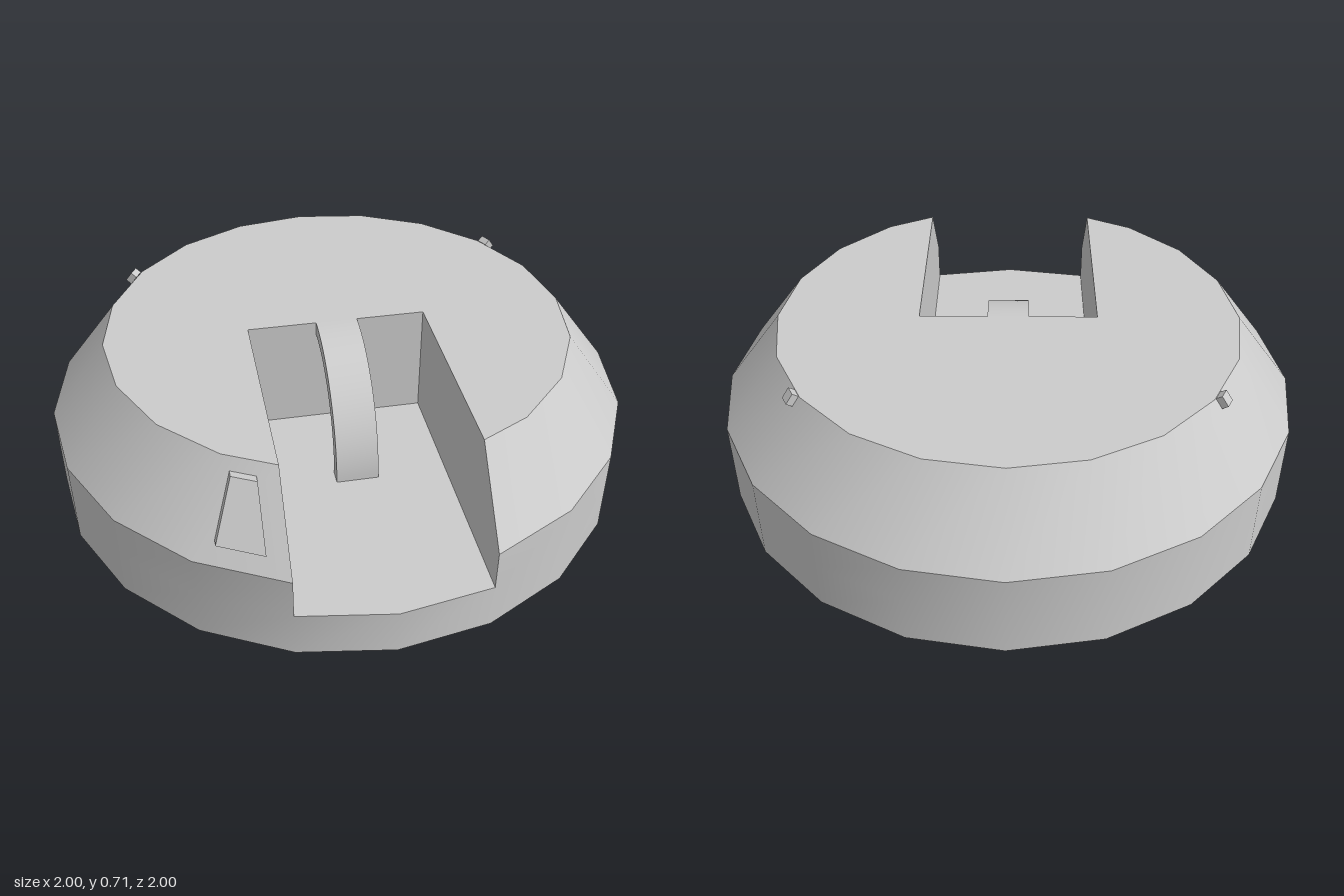
import * as THREE from 'three';
import { mergeGeometries, toCreasedNormals } from 'three/addons/utils/BufferGeometryUtils.js';

const SIDES = 20, STEP = (2 * Math.PI) / SIDES;
const SLOT = Math.sin(STEP); // half width of the front slot
const FLOOR = 0.29, SHOULDER = 0.43, TOP = 0.69, TOP_R = 0.8;

export function createModel() {
  const model = new THREE.Group();
  const grey = new THREE.MeshStandardMaterial({ color: 0xcccccc });
  const tan = new THREE.MeshStandardMaterial({ color: 0xc49a6c, side: THREE.DoubleSide });

  const add = (name, geometry, material = grey) => {
    const mesh = new THREE.Mesh(geometry, material);
    mesh.name = name;
    model.add(mesh);
    return mesh;
  };
  const plain = (geometry) => {
    const g = geometry.index ? geometry.toNonIndexed() : geometry;
    g.deleteAttribute('uv');
    return g;
  };

  // Notched outline: polygon around the body, then the slot's two inner corners
  const outline = (r, slotZ) => {
    const pts = [[SLOT, slotZ]];
    for (let i = 2; i < SIDES - 1; i++) pts.push([r * Math.sin(i * STEP), r * Math.cos(i * STEP)]);
    pts.push([-SLOT, slotZ], [-SLOT, 0], [SLOT, 0]);
    return pts;
  };
  const wide = outline(1, Math.cos(STEP));
  const narrow = outline(TOP_R, 0.729);
  const sections = [[FLOOR, wide], [SHOULDER, wide], [TOP, narrow]];

  // Walls of the slotted upper body
  const positions = [];
  for (let s = 0; s < 2; s++) {
    const [y0, low] = sections[s], [y1, high] = sections[s + 1];
    low.forEach((p, i) => {
      const j = (i + 1) % low.length;
      const a = [p[0], y0, p[1]], b = [low[j][0], y0, low[j][1]];
      const c = [high[j][0], y1, high[j][1]], d = [high[i][0], y1, high[i][1]];
      positions.push(...a, ...b, ...c, ...a, ...c, ...d);
    });
  }
  const walls = new THREE.BufferGeometry();
  walls.setAttribute('position', new THREE.Float32BufferAttribute(positions, 3));
  walls.computeVertexNormals();

  // Roof, and the full drum below the slot floor
  const roof = new THREE.ShapeGeometry(new THREE.Shape(narrow.map(([x, z]) => new THREE.Vector2(x, -z))));
  roof.rotateX(-Math.PI / 2).translate(0, TOP, 0);
  const drum = new THREE.CylinderGeometry(1, 1, FLOOR - 0.13, SIDES);
  drum.translate(0, (FLOOR + 0.13) / 2, 0);
  add('body', toCreasedNormals(mergeGeometries([walls, roof, drum].map(plain)), 0.5));

  // Open base ring
  const ring = new THREE.CylinderGeometry(TOP_R, TOP_R, 0.13, SIDES, 1, true);
  add('baseRing', ring.translate(0, 0.065, 0), tan);

  // Curved strap from the back of the slot down to its floor
  const arc = new THREE.Shape();
  arc.moveTo(0.385, 0);
  arc.absellipse(0, 0, 0.385, 0.4, 0, Math.PI / 2, false);
  arc.lineTo(0, 0.35);
  arc.absellipse(0, 0, 0.335, 0.35, Math.PI / 2, 0, true);
  const strap = new THREE.ExtrudeGeometry(arc, { depth: 0.144, bevelEnabled: false, curveSegments: 12 });
  strap.rotateY(-Math.PI / 2).translate(0.072, FLOOR, 0);
  add('curvedStrap', toCreasedNormals(strap, 0.5));

  // Tapered plate, sheared to lie on the sloping front facet
  const trapezoid = new THREE.Shape([[-0.515, 0.49], [-0.375, 0.49], [-0.375, 0.655], [-0.45, 0.655]]
    .map(([x, y]) => new THREE.Vector2(x, y)));
  const plate = new THREE.ExtrudeGeometry(trapezoid, { depth: 0.03, bevelEnabled: false });
  const pos = plate.attributes.position;
  const mid = 1.5 * STEP, apothem = Math.cos(STEP / 2);
  for (let i = 0; i < pos.count; i++) {
    const reach = apothem * (1 - 0.2 * (pos.getY(i) - SHOULDER) / (TOP - SHOULDER));
    pos.setZ(i, pos.getZ(i) - 0.005 + (reach + pos.getX(i) * Math.sin(mid)) / Math.cos(mid));
  }
  plate.computeVertexNormals();
  add('taperedPlate', plate);

  // Small lugs at the rear of the roof edge
  for (const side of [1, -1]) {
    const lug = add(side > 0 ? 'leftLug' : 'rightLug', new THREE.BoxGeometry(0.04, 0.04, 0.024));
    lug.position.set(side * 0.68, 0.682, -0.457);
    lug.rotation.set(-0.65, side * 6.5 * STEP, 0, 'YXZ');
  }
  return model;
}
